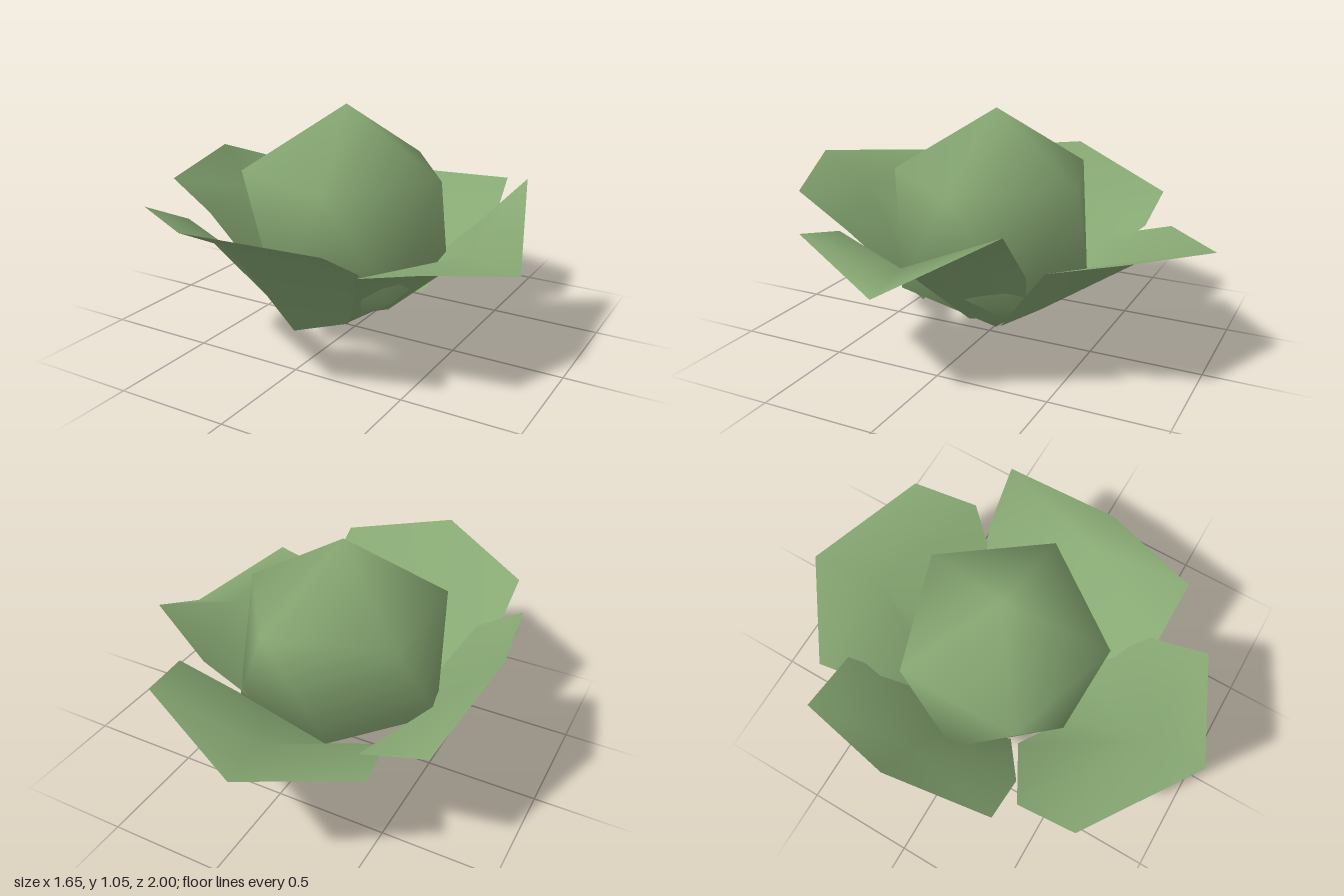
import * as THREE from 'three';

const leafGreen = new THREE.MeshStandardMaterial({ color: 0x87a873, side: THREE.DoubleSide });
leafGreen.name = 'leafGreen';

function surface(name, points, index) {
  const geo = new THREE.BufferGeometry();
  geo.setAttribute('position', new THREE.Float32BufferAttribute(points.flat(), 3));
  geo.setIndex(index);
  geo.computeVertexNormals();
  const mesh = new THREE.Mesh(geo, leafGreen);
  mesh.name = name;
  return mesh;
}

// Smooth-shaded twenty-sided heart standing on one corner, its lower ring slightly uneven
function heart() {
  const r = 0.525, ringH = 0.235, cx = -0.05, cz = -0.01;
  const lowerRadius = [0.47, 0.42, 0.47, 0.42, 0.47];
  const points = [[cx, 2 * r, cz], [cx, 0, cz]];
  const index = [];
  for (let i = 0; i < 5; i++) {
    for (const [offset, y, radius] of [[0, r + ringH, 0.467], [0.5, r - ringH, lowerRadius[i]]]) {
      const a = (i + offset) * Math.PI * 2 / 5;
      points.push([cx + radius * Math.cos(a), y, cz + radius * Math.sin(a)]);
    }
    const u = 2 + 2 * i, l = u + 1;
    const u2 = 2 + 2 * ((i + 1) % 5), l2 = u2 + 1;
    index.push(0, u2, u, 1, l, l2, u, u2, l, l, u2, l2);
  }
  return surface('heart', points, index);
}

// Curled leaf: three rows (base, middle, rim) of three points, inner side in front
function leaf(name, rows) {
  const index = [];
  for (let r = 0; r < 2; r++) {
    for (let c = 0; c < 2; c++) {
      const a = r * 3 + c, b = a + 1, d = a + 3, e = a + 4;
      // Diagonals alternate so that they meet at the central point
      if (r === c) index.push(a, d, e, a, e, b);
      else index.push(a, d, b, b, d, e);
    }
  }
  return surface(name, rows.flat(), index);
}

export function createModel() {
  const group = new THREE.Group();
  group.name = 'leafyHead';
  group.add(
    heart(),
    leaf('frontLeaf', [
      [[-0.32, 0.155, 0.23], [-0.1, 0.1, 0.36], [0.13, 0.155, 0.28]],
      [[-0.63, 0.54, 0.4], [-0.13, 0.6, 0.74], [0.33, 0.51, 0.54]],
      [[-0.63, 0.67, 0.67], [-0.15, 0.735, 1.0], [0.33, 0.665, 0.8]],
    ]),
    leaf('leftLeaf', [
      [[0.07, 0.17, 0.25], [0.18, 0.13, 0.01], [0.14, 0.18, -0.25]],
      [[0.34, 0.51, 0.58], [0.6, 0.5, 0.1], [0.45, 0.49, -0.38]],
      [[0.62, 0.58, 0.58], [0.825, 0.45, 0.1], [0.665, 0.72, -0.38]],
    ]),
    leaf('backLeaf', [
      [[0.26, 0.165, -0.18], [-0.14, 0.09, -0.2], [-0.28, 0.16, -0.18]],
      [[0.5, 0.54, -0.48], [-0.04, 0.45, -0.7], [-0.46, 0.4, -0.42]],
      [[0.43, 0.6, -0.77], [-0.1, 0.515, -1.0], [-0.52, 0.465, -0.7]],
    ]),
    leaf('rightLeaf', [
      [[-0.28, 0.16, -0.23], [-0.38, 0.11, -0.035], [-0.32, 0.16, 0.19]],
      [[-0.43, 0.48, -0.6], [-0.65, 0.55, -0.12], [-0.55, 0.57, 0.35]],
      [[-0.72, 0.57, -0.6], [-0.825, 0.755, -0.12], [-0.75, 0.7, 0.35]],
    ]),
  );
  return group;
}
